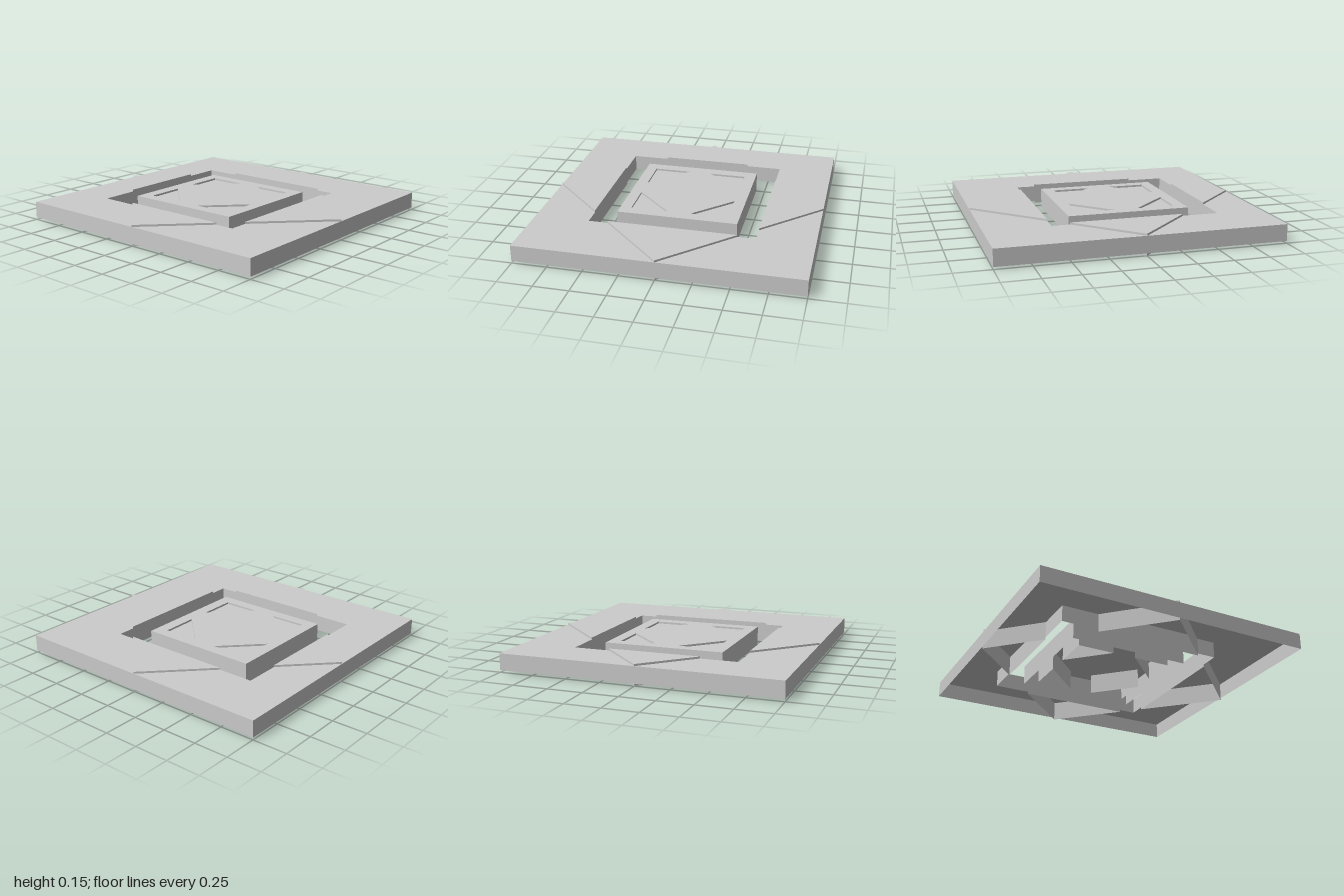
import * as THREE from 'three';
import { mergeGeometries } from 'three/addons/utils/BufferGeometryUtils.js';

// Heights: plates sit slightly inside the taller raised panels
const LOW = 0.016, PLATE = 0.134, TOP = 0.148;
// Openings as [xMin, xMax, zMin, zMax]
const HOLE = [-0.667, 0.535, -0.593, 0.602];
const TILE = [-0.508, 0.377, -0.434, 0.441];
const MARKS = [-0.425, 0.29, -0.35, 0.36], MARK_SIZE = 0.27;

const material = new THREE.MeshStandardMaterial({
  color: 0xcccccc, flatShading: true, side: THREE.DoubleSide,
});

// Flat face at height y from [x, z] points
function cap(points, holes, y) {
  const toVectors = (pts) => pts.map(([x, z]) => new THREE.Vector2(x, -z));
  const shape = new THREE.Shape(toVectors(points));
  holes.forEach((h) => shape.holes.push(new THREE.Path(toVectors(h))));
  return new THREE.ShapeGeometry(shape).rotateX(-Math.PI / 2).translate(0, y, 0).toNonIndexed();
}

// Thin upright walls along a closed loop of [x, z] points
function walls(points, y0, y1) {
  const sheets = points.map(([ax, az], i) => {
    const [bx, bz] = points[(i + 1) % points.length];
    return new THREE.PlaneGeometry(Math.hypot(bx - ax, bz - az), y1 - y0)
      .rotateY(-Math.atan2(bz - az, bx - ax))
      .translate((ax + bx) / 2, (y0 + y1) / 2, (az + bz) / 2).toNonIndexed();
  });
  return mergeGeometries(sheets);
}

// Hollow piece: a top face with walls, open below
function shell(name, points, y0, y1, holes = []) {
  const parts = [cap(points, holes, y1), ...[points, ...holes].map((p) => walls(p, y0, y1))];
  const mesh = new THREE.Mesh(mergeGeometries(parts), material);
  mesh.name = name;
  return mesh;
}

export function createModel() {
  const group = new THREE.Group();
  group.name = 'framedTile';
  const [hx0, hx1, hz0, hz1] = HOLE;

  // Frame corners, lying outside the diamond |x| + |z| = 1
  for (const sx of [-1, 1]) for (const sz of [-1, 1]) {
    const hx = sx < 0 ? hx0 : hx1, hz = sz < 0 ? hz0 : hz1;
    group.add(shell('frameCorner', [
      [0, sz], [sx, sz], [sx, 0],
      [hx, sz * (1 - Math.abs(hx))], [hx, hz], [sx * (1 - Math.abs(hz)), hz],
    ], LOW, PLATE));
  }

  // Raised triangles between the diamond tips and the opening
  for (const s of [-1, 1]) {
    const hx = s < 0 ? hx0 : hx1, wx = 1 - Math.abs(hx);
    const hz = s < 0 ? hz0 : hz1, wz = 1 - Math.abs(hz);
    group.add(shell('sideTriangle', [[s, 0], [hx, wx], [hx, -wx]], 0, TOP));
    group.add(shell('endTriangle', [[0, s], [wz, hz], [-wz, hz]], 0, TOP));
  }

  // Central tile with a sunken triangle in each corner
  const marks = [];
  for (const sx of [-1, 1]) for (const sz of [-1, 1]) {
    const x = MARKS[sx < 0 ? 0 : 1], z = MARKS[sz < 0 ? 2 : 3];
    marks.push([[x, z], [x - sx * MARK_SIZE, z], [x, z - sz * MARK_SIZE]]);
  }
  const [x0, x1, z0, z1] = TILE;
  group.add(shell('centreTile', [[x0, z0], [x1, z0], [x1, z1], [x0, z1]], 0, TOP, marks));
  marks.forEach((m) => group.add(shell('sunkenTriangle', m, LOW, PLATE)));

  return group;
}
